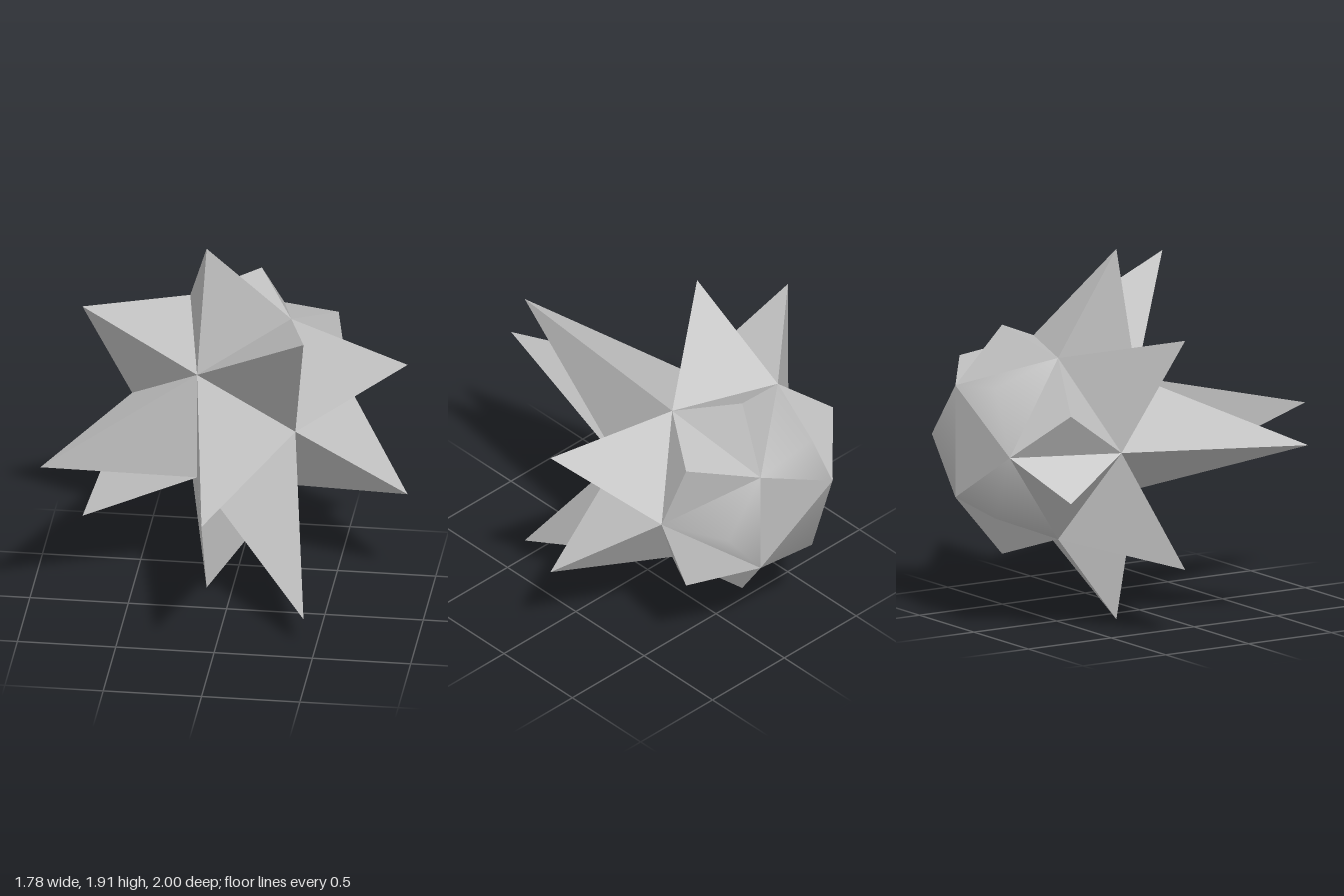
import * as THREE from 'three';

const R = 0.549;                                  // circumradius of the core icosahedron
const CENTER = new THREE.Vector3(0, 0.957, -0.566);

// Spike tip distance from the core centre, chosen by the z of the face normal
const TIERS = [
  { nz: 1, reach: 1.566, name: 'frontSpike' },
  { nz: 0.745, reach: 1.338, name: 'longSpike' },
  { nz: 0.333, reach: 1.022, name: 'mediumSpike' },
  { nz: -0.333, reach: 0.632, name: 'shortSpike' },
  { nz: -0.745, reach: 0.581, name: 'rearBump', smooth: true },
  { nz: -1, reach: 0, name: 'flatBack' },
];

// Core corners: four rings of three around the z axis
function coreCorners() {
  const rings = [[0.7947, 0], [0.1876, 60], [-0.1876, 0], [-0.7947, 60]];
  const corners = [];
  for (const [h, start] of rings) {
    const radius = R * Math.sqrt(1 - h * h);
    for (let i = 0; i < 3; i++) {
      const a = THREE.MathUtils.degToRad(start + i * 120);
      corners.push(new THREE.Vector3(radius * Math.cos(a), radius * Math.sin(a), R * h));
    }
  }
  return corners;
}

// Every triple of mutually adjacent corners is a face, wound outwards
function coreFaces(corners) {
  const near = (a, b) => a.distanceTo(b) < R * 1.2;
  const faces = [];
  for (let i = 0; i < 12; i++) for (let j = i + 1; j < 12; j++) for (let k = j + 1; k < 12; k++) {
    const [a, b, c] = [corners[i], corners[j], corners[k]];
    if (!near(a, b) || !near(b, c) || !near(a, c)) continue;
    const outward = b.clone().sub(a).cross(c.clone().sub(a)).dot(a) > 0;
    faces.push(outward ? [a, b, c] : [a, c, b]);
  }
  return faces;
}

// Three-sided pyramid over a face, or the bare face when there is no tip
function spikeGeometry(face, tip, smooth) {
  const indexed = new THREE.BufferGeometry().setFromPoints(tip ? [...face, tip] : face);
  indexed.setIndex(tip ? [0, 1, 3, 1, 2, 3, 2, 0, 3] : [0, 1, 2]);
  const geometry = smooth ? indexed : indexed.toNonIndexed();
  geometry.computeVertexNormals();
  return geometry;
}

export function createModel() {
  const model = new THREE.Group();
  model.name = 'spikedStar';
  const grey = new THREE.MeshStandardMaterial({ color: 0xc0c0c0 });
  grey.name = 'grey';

  for (const face of coreFaces(coreCorners())) {
    const normal = face[0].clone().add(face[1]).add(face[2]).normalize();
    const tier = TIERS.find((t) => Math.abs(t.nz - normal.z) < 0.05);
    const tip = tier.reach ? normal.clone().multiplyScalar(tier.reach) : null;
    const spike = new THREE.Mesh(spikeGeometry(face, tip, tier.smooth), grey);
    spike.name = tier.name;
    spike.position.copy(CENTER);
    model.add(spike);
  }
  return model;
}
